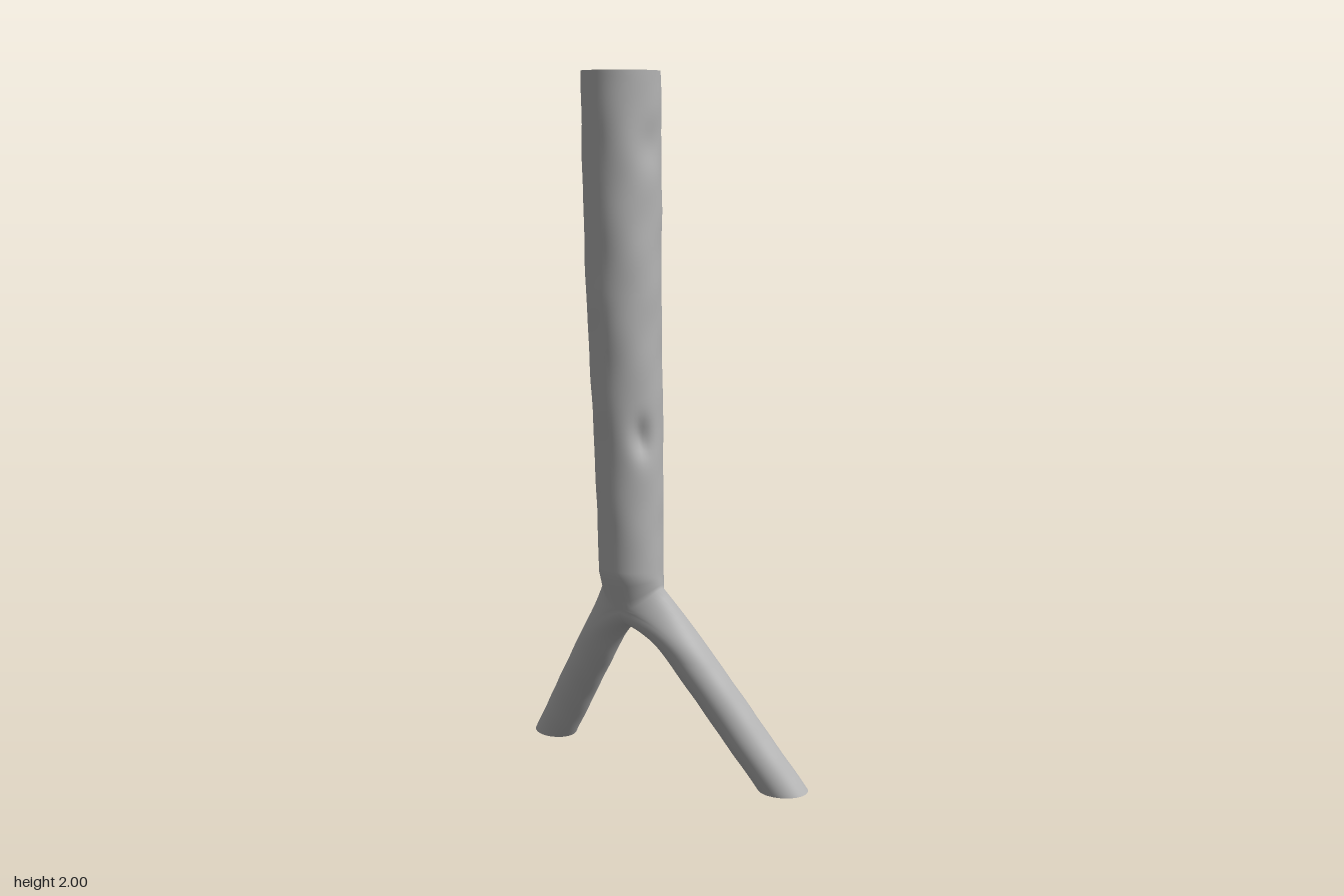
import * as THREE from 'three';
import { mergeVertices } from 'three/addons/utils/BufferGeometryUtils.js';

const N = 48; // points round each ring
const { lerp, smoothstep, clamp } = THREE.MathUtils;

// Trunk sections: y, centre x, centre z, radius x, radius z
const SECTIONS = [
  [2.0, -0.02, 0.08, 0.105, 0.105],
  [1.4, -0.017, 0.072, 0.102, 0.1],
  [1.0, -0.011, 0.058, 0.093, 0.094],
  [0.62, -0.008, 0.05, 0.092, 0.085],
];
const SEAM = { y: 0.58, drop: 0.06, x: -0.008, z: 0.036, rx: 0.094, rz: 0.07 };

function section(y) {
  let i = 0;
  while (i < SECTIONS.length - 2 && y < SECTIONS[i + 1][0]) i++;
  const a = SECTIONS[i], b = SECTIONS[i + 1];
  const t = clamp((a[0] - y) / (a[0] - b[0]), 0, 1);
  return a.map((v, k) => lerp(v, b[k], t));
}

// Gentle unevenness of the wall, with dents on the left side
function wall(a, y) {
  const dent = (a0, y0, wa, wy) => {
    const d = Math.atan2(Math.sin(a - a0), Math.cos(a - a0));
    return Math.exp(-((d / wa) ** 2) - ((y - y0) / wy) ** 2);
  };
  const ripple = 0.008 * Math.sin(9 * y + 2 * a) + 0.007 * Math.sin(23 * y - 3 * a)
    + 0.005 * Math.sin(41 * y + 4 * a);
  return 1 + ripple * smoothstep(y, 0.62, 0.8)
    - 0.24 * dent(0.5, 1.02, 0.3, 0.05) - 0.08 * dent(0.1, 1.81, 0.5, 0.06);
}

function trunkPoint(a, y) {
  const [, cx, cz, rx, rz] = section(y);
  const w = wall(a, y);
  const back = Math.sin(a) < 0 ? 1 + 0.05 * Math.sin(2 * a) ** 2 : 1; // flatter back
  return new THREE.Vector3(cx + rx * w * back * Math.cos(a), y, cz + rz * w * back * Math.sin(a));
}

function seamPoint(a) {
  return new THREE.Vector3(SEAM.x + SEAM.rx * Math.cos(a),
    SEAM.y - SEAM.drop * Math.sin(a) ** 2, SEAM.z + SEAM.rz * Math.sin(a));
}

// Point on a horizontal slice through a leg; side is +1 or -1
function legPoint(a, y, side) {
  const t = 1 - y / 0.44;
  const ripple = 1 + 0.014 * Math.sin(45 * y + a) * Math.sin(17 * y + 2 * a + side);
  const u = 0.072 * ripple * Math.cos(a), v = 0.061 * ripple * Math.sin(a);
  const endZ = side > 0 ? -0.112 : -0.12;
  return new THREE.Vector3(side * (lerp(0.115, 0.405, t) + 0.92 * u + 0.39 * v), y,
    lerp(0.008, endZ, t) - 0.39 * u + 0.92 * v);
}

function buildTube() {
  const positions = [], indices = [];

  // Skins a list of closed rings
  function skin(rings, flip) {
    const start = positions.length / 3;
    rings.forEach(ring => ring.forEach(p => positions.push(p.x, p.y, p.z)));
    for (let r = 0; r < rings.length - 1; r++) {
      for (let j = 0; j < N; j++) {
        const a = start + r * N + j, b = start + r * N + (j + 1) % N;
        const c = a + N, d = b + N;
        if (flip) indices.push(a, c, b, b, c, d);
        else indices.push(a, b, c, b, d, c);
      }
    }
  }
  const ring = f => Array.from({ length: N }, (_, j) => f(-Math.PI / 2 + (j / N) * Math.PI * 2));

  // Trunk, open at the top, ending in the wavy seam
  const trunk = [];
  for (let i = 0; i <= 80; i++) trunk.push(ring(a => trunkPoint(a, lerp(2, 0.62, i / 80))));
  for (let i = 1; i <= 4; i++) {
    trunk.push(ring(a => trunkPoint(a, 0.62).lerp(seamPoint(a), i / 4)));
  }
  skin(trunk, false);

  // Legs: each starts on half the seam plus the saddle between the legs
  for (const side of [1, -1]) {
    const top = 0.38;
    const up = new THREE.Vector3(-side * 0.29, 0.44, 0.12).normalize();
    const start = a => {
      if (Math.cos(a) > -1e-6) return seamPoint(side > 0 ? a : Math.PI - a);
      return new THREE.Vector3(SEAM.x, SEAM.y - SEAM.drop + 0.06 * Math.cos(a),
        SEAM.z + SEAM.rz * Math.sin(a));
    };
    const rings = [];
    for (let i = 0; i <= 8; i++) {
      rings.push(ring(a => {
        const p0 = start(a), p2 = legPoint(a, top, side);
        const p1 = p2.clone().addScaledVector(up, p0.distanceTo(p2) * 0.5);
        return new THREE.QuadraticBezierCurve3(p0, p1, p2).getPoint(i / 8);
      }));
    }
    for (let i = 1; i <= 32; i++) rings.push(ring(a => legPoint(a, top * (1 - i / 32), side)));
    skin(rings, side < 0);
  }

  const geometry = new THREE.BufferGeometry();
  geometry.setAttribute('position', new THREE.Float32BufferAttribute(positions, 3));
  geometry.setIndex(indices);
  const welded = mergeVertices(geometry, 1e-4);
  welded.computeVertexNormals();
  return welded;
}

export function createModel() {
  const group = new THREE.Group();
  group.name = 'forkedTube';
  const grey = new THREE.MeshStandardMaterial({ color: 0xb4b4b4, side: THREE.DoubleSide });
  grey.name = 'grey';
  const tube = new THREE.Mesh(buildTube(), grey);
  tube.name = 'trunkAndBranches';
  group.add(tube);
  return group;
}
